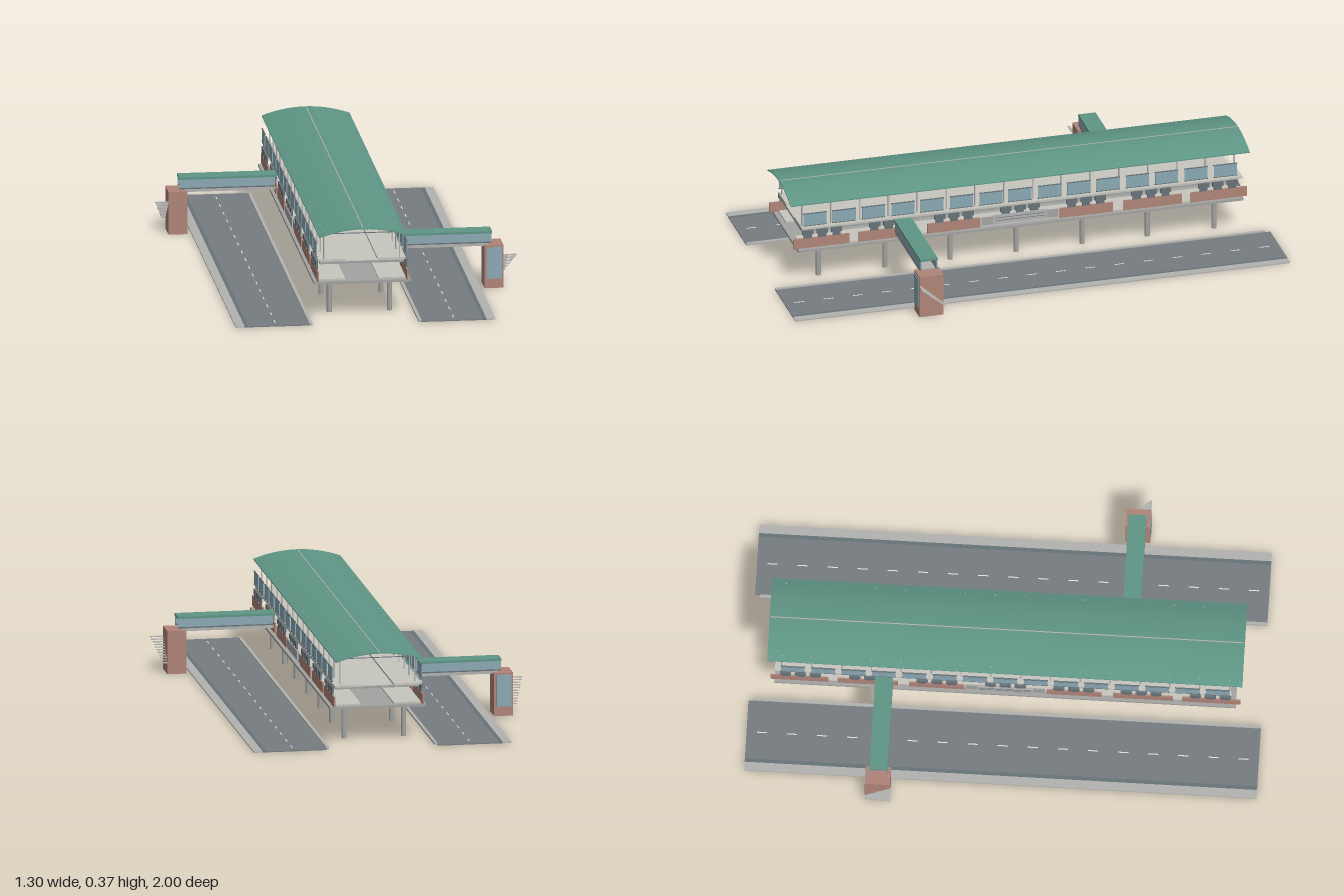
import * as THREE from 'three';

export function createModel() {
  const model = new THREE.Group();
  model.name = 'elevatedStation';

  const mat = (name, color, side = THREE.FrontSide) => {
    const m = new THREE.MeshStandardMaterial({ color, side });
    m.name = name;
    return m;
  };
  const asphalt = mat('asphalt', 0x777c80);
  const paving = mat('paving', 0xb2b3b1);
  const concrete = mat('concrete', 0xa3a3a1);
  const floorTile = mat('floor tile', 0xc6c6bf);
  const roofGreen = mat('roof green', 0x5f9686, THREE.DoubleSide);
  const brick = mat('brick', 0xb08478);
  const glass = mat('glass', 0x8ba9b5);
  const slate = mat('slate', 0x687379);
  const white = mat('white', 0xe4e4e2);

  // Box given by its min and max corners
  const box = (parent, name, material, x0, x1, y0, y1, z0, z1) => {
    const mesh = new THREE.Mesh(
      new THREE.BoxGeometry(Math.abs(x1 - x0), y1 - y0, z1 - z0), material);
    mesh.position.set((x0 + x1) / 2, (y0 + y1) / 2, (z0 + z1) / 2);
    mesh.name = name;
    parent.add(mesh);
    return mesh;
  };

  // Roads on both sides, with footpath, gutter, kerb and lane dashes
  for (const s of [-1, 1]) {
    const road = new THREE.Group();
    road.name = s > 0 ? 'leftRoad' : 'rightRoad';
    model.add(road);
    box(road, 'roadway', asphalt, s * 0.22, s * 0.46, 0, 0.004, -1, 1);
    box(road, 'gutter', slate, s * 0.46, s * 0.475, 0, 0.004, -1, 1);
    box(road, 'footpath', paving, s * 0.475, s * 0.51, 0, 0.005, -1, 1);
    box(road, 'innerKerb', paving, s * 0.208, s * 0.22, 0, 0.008, -0.98, 1);
    for (let i = 0; i < 17; i++) {
      const z = -0.94 + i * 0.1175;
      box(road, 'laneDash', white, s * 0.348, s * 0.352, 0.004, 0.005, z - 0.02, z + 0.02);
    }
  }

  // Columns and lower deck
  const bays = [-0.8, -0.53, -0.267, 0, 0.267, 0.53, 0.8];
  for (const z of bays) for (const s of [-1, 1]) {
    const column = new THREE.Mesh(new THREE.CylinderGeometry(0.0105, 0.0105, 0.138, 12), concrete);
    column.position.set(s * 0.118, 0.069, z);
    column.name = 'column';
    model.add(column);
  }
  box(model, 'lowerDeck', concrete, -0.19, 0.19, 0.137, 0.147, -0.9, 0.9);

  // Concourse floor and upper platform slabs
  box(model, 'upperDeck', concrete, -0.165, 0.165, 0.213, 0.222, -0.88, 0.88);
  box(model, 'upperFloor', floorTile, -0.165, 0.165, 0.222, 0.224, -0.88, 0.88);
  for (const s of [-1, 1]) {
    box(model, 'lowerWalk', floorTile, s * 0.065, s * 0.172, 0.147, 0.153, -0.88, 0.88);
    box(model, 'platform', floorTile, s * 0.062, s * 0.172, 0.224, 0.232, -0.9, 0.88);
  }

  // Side walls: brick parapets, entrance panels, louvres and window row
  const parapets = [[0.16, 0.375], [0.42, 0.655], [0.69, 0.917]];
  for (const s of [-1, 1]) {
    const wall = new THREE.Group();
    wall.name = s > 0 ? 'leftWall' : 'rightWall';
    model.add(wall);
    for (const e of [-1, 1]) for (const [a, b] of parapets) {
      const z = [a * e, b * e].sort((p, q) => p - q);
      box(wall, 'parapet', brick, s * 0.172, s * 0.178, 0.149, 0.19, z[0], z[1]);
    }
    box(wall, 'centreBacking', concrete, s * 0.171, s * 0.176, 0.155, 0.188, -0.155, 0.155);
    box(wall, 'centrePanel', paving, s * 0.176, s * 0.181, 0.157, 0.195, -0.11, 0.11);
    for (let i = 0; i < 2; i++) {
      const y = 0.17 + i * 0.012;
      box(wall, 'centreRail', slate, s * 0.181, s * 0.182, y, y + 0.002, -0.1, 0.1);
    }

    // Louvres in threes: a wide upper plate over a narrower one
    for (const z of bays) for (const d of [-0.058, 0, 0.058]) {
      box(wall, 'louvre', slate, s * 0.172, s * 0.18, 0.205, 0.224, z + d - 0.022, z + d + 0.022);
      box(wall, 'louvreFoot', slate, s * 0.172, s * 0.178, 0.19, 0.205, z + d - 0.016, z + d + 0.016);
    }

    // Windows with thin frames
    for (let i = 0; i < 15; i++) {
      const z = (i - 7) * 0.1185;
      box(wall, 'window', glass, s * 0.175, s * 0.179, 0.246, 0.294, z - 0.046, z + 0.046);
      box(wall, 'windowTopFrame', slate, s * 0.1745, s * 0.1795, 0.294, 0.297, z - 0.048, z + 0.048);
      box(wall, 'windowSill', slate, s * 0.1745, s * 0.1795, 0.243, 0.246, z - 0.048, z + 0.048);
    }
  }

  // Canopy frames: posts, tie beams and hanging lamps
  for (let i = 0; i < 16; i++) {
    const z = (i - 7.5) * 0.1165;
    for (const s of [-1, 1])
      box(model, 'canopyPost', paving, s * 0.146, s * 0.151, 0.232, 0.342, z - 0.0025, z + 0.0025);
    box(model, 'tieBeam', slate, -0.15, 0.15, 0.332, 0.335, z - 0.0015, z + 0.0015);
    if (i % 3 === 1) for (const x of [-0.1, -0.05, 0.05, 0.1])
      box(model, 'hangingLamp', white, x - 0.0015, x + 0.0015, 0.32, 0.333, z - 0.008, z + 0.008);
  }

  // Curved canopy: a thin arc extruded along z
  const rise = (x) => 0.365 - 0.031 * (x / 0.172) ** 2;
  const arc = new THREE.Shape();
  const steps = 16;
  for (let i = 0; i <= steps; i++) {
    const x = -0.172 + 0.344 * i / steps;
    if (i) arc.lineTo(x, rise(x)); else arc.moveTo(x, rise(x));
  }
  for (let i = steps; i >= 0; i--) {
    const x = -0.172 + 0.344 * i / steps;
    arc.lineTo(x, rise(x) - 0.004);
  }
  const canopyGeo = new THREE.ExtrudeGeometry(arc, { depth: 1.855, bevelEnabled: false });
  canopyGeo.translate(0, 0, -0.93);
  const canopy = new THREE.Mesh(canopyGeo, roofGreen);
  canopy.name = 'canopy';
  model.add(canopy);
  box(model, 'canopyRidge', paving, -0.002, 0.002, 0.3645, 0.3665, -0.925, 0.92);

  // Footbridge, lift tower and stair, once per side (half-turn symmetry)
  const addAccess = (name, turn, stairDir) => {
    const g = new THREE.Group();
    g.name = name;
    g.rotation.y = turn;
    model.add(g);
    const zc = 0.473;
    box(g, 'bridgeFloor', paving, 0.172, 0.54, 0.166, 0.178, zc - 0.033, zc + 0.033);
    for (const s of [-1, 1]) {
      const z = zc + s * 0.032;
      box(g, 'bridgeGlass', glass, 0.18, 0.555, 0.182, 0.217, z - 0.002, z + 0.002);
      box(g, 'bridgeRail', slate, 0.18, 0.555, 0.178, 0.183, z - 0.003, z + 0.003);
    }
    box(g, 'bridgeRoof', roofGreen, 0.172, 0.557, 0.216, 0.225, zc - 0.035, zc + 0.035);

    box(g, 'liftTower', brick, 0.525, 0.6, 0, 0.172, 0.426, 0.524);
    box(g, 'liftGlass', glass, 0.535, 0.594, 0.038, 0.164, 0.523, 0.527);

    // Thin treads that widen as they climb
    const n = 11;
    for (let i = 0; i < n; i++) {
      const t = i / (n - 1);
      const z = zc + stairDir * (t - 0.5) * 0.093;
      const y = 0.045 + t * 0.085;
      box(g, 'stairTread', paving, 0.6, 0.616 + t * 0.036, y, y + 0.003, z - 0.0049, z + 0.0049);
    }
  };
  addAccess('leftAccess', 0, 1);
  addAccess('rightAccess', Math.PI, -1);

  return model;
}
